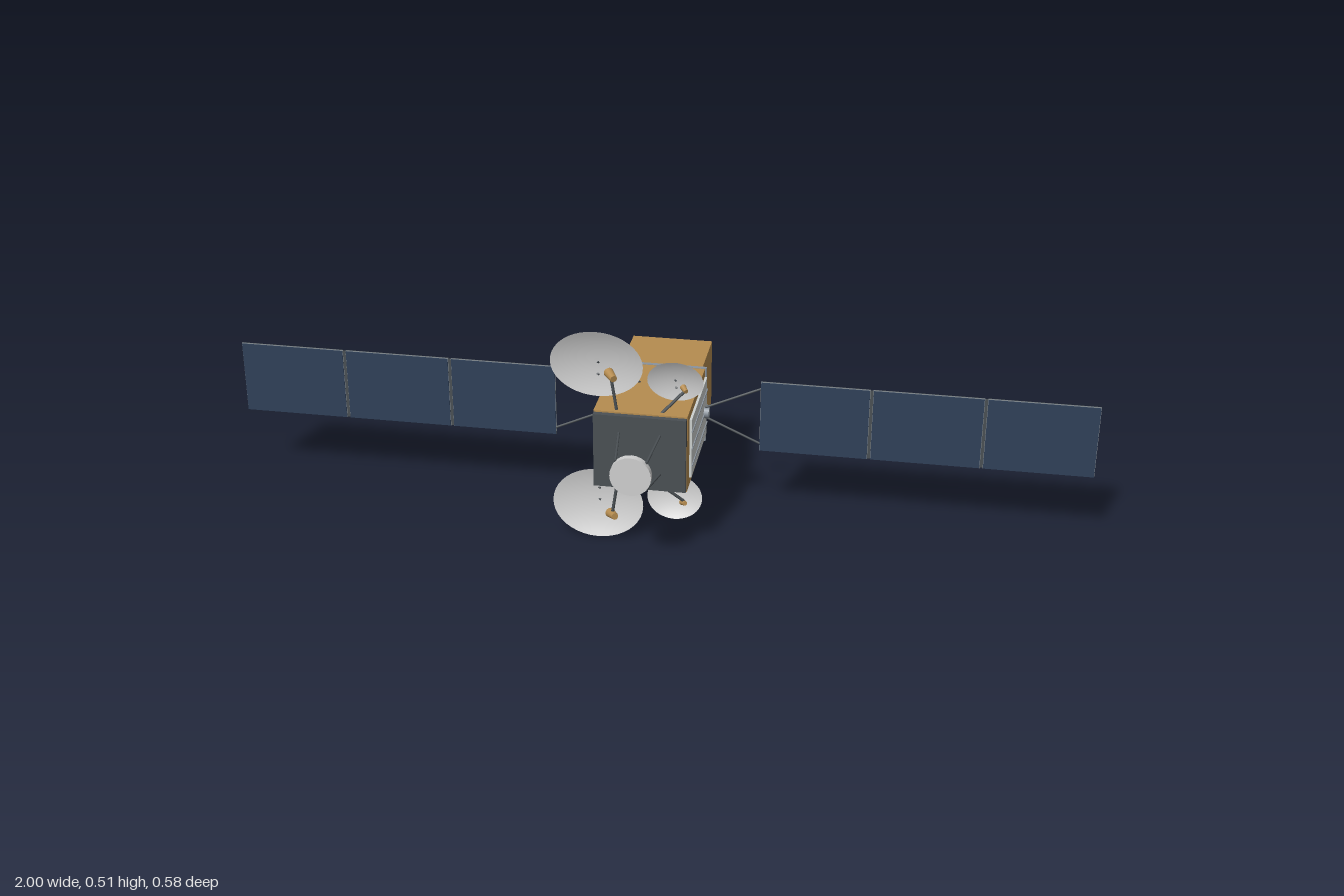
import * as THREE from 'three';

const mat = (name, color, side = THREE.FrontSide) => {
  const m = new THREE.MeshStandardMaterial({ color, side });
  m.name = name;
  return m;
};

export function createModel() {
  const gold = mat('gold foil', 0xb58c50);
  const white = mat('radiator white', 0xcdd1cf);
  const navy = mat('solar cell navy', 0x2f4058);
  const backGrey = mat('panel back grey', 0x7c848a);
  const dark = mat('dark strut grey', 0x4a5054);
  const metal = mat('metal grey', 0x8a939c);
  const dishGrey = mat('dish grey', 0xcfcfcf, THREE.DoubleSide);

  const root = new THREE.Group();
  root.name = 'satellite';
  const CY = 0.2625;      // height of the body axis
  const PZ = -0.052;      // depth of the solar wings

  const add = (name, geo, material, x, y, z) => {
    const m = new THREE.Mesh(geo, material);
    m.name = name;
    m.position.set(x, y, z);
    root.add(m);
    return m;
  };
  const box = (name, material, w, h, d, x, y, z) =>
    add(name, new THREE.BoxGeometry(w, h, d), material, x, y, z);
  // Round rod or cone between two points
  const rod = (name, material, a, b, r0, r1 = r0, sides = 8) => {
    const A = new THREE.Vector3(...a), B = new THREE.Vector3(...b);
    const dir = B.clone().sub(A);
    const mid = A.clone().add(B).multiplyScalar(0.5);
    const m = add(name, new THREE.CylinderGeometry(r1, r0, dir.length(), sides), material, mid.x, mid.y, mid.z);
    m.quaternion.setFromUnitVectors(new THREE.Vector3(0, 1, 0), dir.normalize());
    return m;
  };

  // Body
  box('mainBody', gold, 0.21, 0.185, 0.263, 0, CY, 0.034);
  box('frontPlate', dark, 0.208, 0.178, 0.013, 0, CY, 0.1715);
  box('bodyBand', metal, 0.217, 0.187, 0.01, 0, CY, -0.0925);
  box('rearBody', gold, 0.19, 0.163, 0.172, 0, CY, -0.181);

  // Rear engine ring, open in the middle
  const ring = add('rearRing', new THREE.LatheGeometry(
    [[0.045, 0], [0.07, 0], [0.07, 0], [0.07, 0.021], [0.07, 0.021], [0.045, 0.021], [0.045, 0.021], [0.045, 0]]
      .map(p => new THREE.Vector2(...p)), 32), metal, 0, CY, -0.267);
  ring.rotation.x = -Math.PI / 2;

  // Front antenna disc on four legs
  rod('frontDisc', dishGrey, [0, CY, 0.274], [0, CY, 0.289], 0.046, 0.046, 24);
  for (const sx of [-1, 1]) for (const sy of [-1, 1])
    rod('frontDiscLeg', dark, [sx * 0.046, CY + sy * 0.048, 0.178], [sx * 0.034, CY + sy * 0.032, 0.28], 0.0028);

  for (const s of [-1, 1]) {
    // Side radiator with heat pipes
    box('sideRadiator', white, 0.007, 0.144, 0.223, s * 0.107, CY, 0.0235);
    for (const dy of [-0.042, 0, 0.042])
      box('heatPipe', metal, 0.003, 0.003, 0.223, s * 0.1115, CY + dy, 0.0235);

    // Wing hub and yoke
    rod('wingHub', metal, [s * 0.105, CY, PZ], [s * 0.122, CY, PZ], 0.013, 0.013, 16);
    for (const t of [-1, 1])
      rod('wingYoke', dark, [s * 0.112, CY + t * 0.012, PZ], [s * 0.243, CY + t * 0.071, PZ], 0.0028);

    // Three solar panels: cells in front, grey backing behind
    for (let i = 0; i < 3; i++) {
      const x = s * (0.364 + i * 0.2555);
      box('solarCells', navy, 0.247, 0.173, 0.002, x, CY, PZ + 0.0022);
      box('panelBack', backGrey, 0.249, 0.175, 0.003, x, CY, PZ - 0.0003);
      for (const t of [-1, 1]) {
        box('panelEdge', dark, 0.249, 0.0025, 0.002, x, CY + t * 0.0862, PZ - 0.0024);
        for (let k = 0; k < 12; k++)
          box('panelDash', dark, 0.01, 0.0015, 0.001, x + (k - 5.5) * 0.02, CY + t * 0.07, PZ - 0.002);
      }
      if (i > 0) box('panelHinge', dark, 0.0065, 0.172, 0.003, x - s * 0.1278, CY, PZ - 0.0015);
    }
  }

  // Reflector dishes with struts and feeds, mirrored above and below the body
  const dishes = [
    { name: 'largeDish', x: -0.11, dy: 0.175, z: 0.1035, rx: 0.105, ry: 0.083, depth: 0.015, tilt: 0.115,
      feet: [[-0.03, 0.005], [-0.085, 0.012]], feedBase: [-0.055, 0.153], feed: [-0.067, 0.174, 0.153], fr: 0.011, fl: 0.03 },
    { name: 'smallDish', x: 0.067, dy: 0.145, z: 0.1, rx: 0.063, ry: 0.052, depth: 0.01, tilt: 0.2,
      feet: [[0.015, 0.012], [0.07, 0.018]], feedBase: [0.045, 0.15], feed: [0.092, 0.142, 0.128], fr: 0.007, fl: 0.018 },
  ];
  for (const d of dishes) for (const s of [-1, 1]) {
    const profile = [];
    for (let i = 0; i <= 8; i++) profile.push(new THREE.Vector2(i / 8, d.depth * ((i / 8) ** 2 - 1)));
    const geo = new THREE.LatheGeometry(profile, 40);
    geo.rotateX(Math.PI / 2);
    geo.scale(d.rx, d.ry, 1);
    add(d.name, geo, dishGrey, d.x, CY + s * d.dy, d.z).rotation.x = s * d.tilt;

    // Support struts from the body to the back of the dish
    const back = d.z - d.depth;
    d.feet.forEach(([fx, fz], i) => rod('dishStrut', dark, [fx, CY + s * 0.091, fz],
      [d.x, CY + s * (d.dy - i * 0.03 * d.ry / 0.083), back], 0.003));

    // Feed mast and horn aimed at the dish
    const [hx, hy, hz] = d.feed;
    rod('feedMast', dark, [d.feedBase[0], CY + s * 0.09, d.feedBase[1]], [hx, CY + s * (hy - 0.005), hz], 0.0035);
    const aim = new THREE.Vector3(d.x - hx, s * 0.012, back - hz).normalize().multiplyScalar(d.fl / 2);
    rod('feedHorn', gold, [hx - aim.x, CY + s * hy - aim.y, hz - aim.z],
      [hx + aim.x, CY + s * hy + aim.y, hz + aim.z], d.fr * 0.72, d.fr, 16);
  }
  return root;
}
